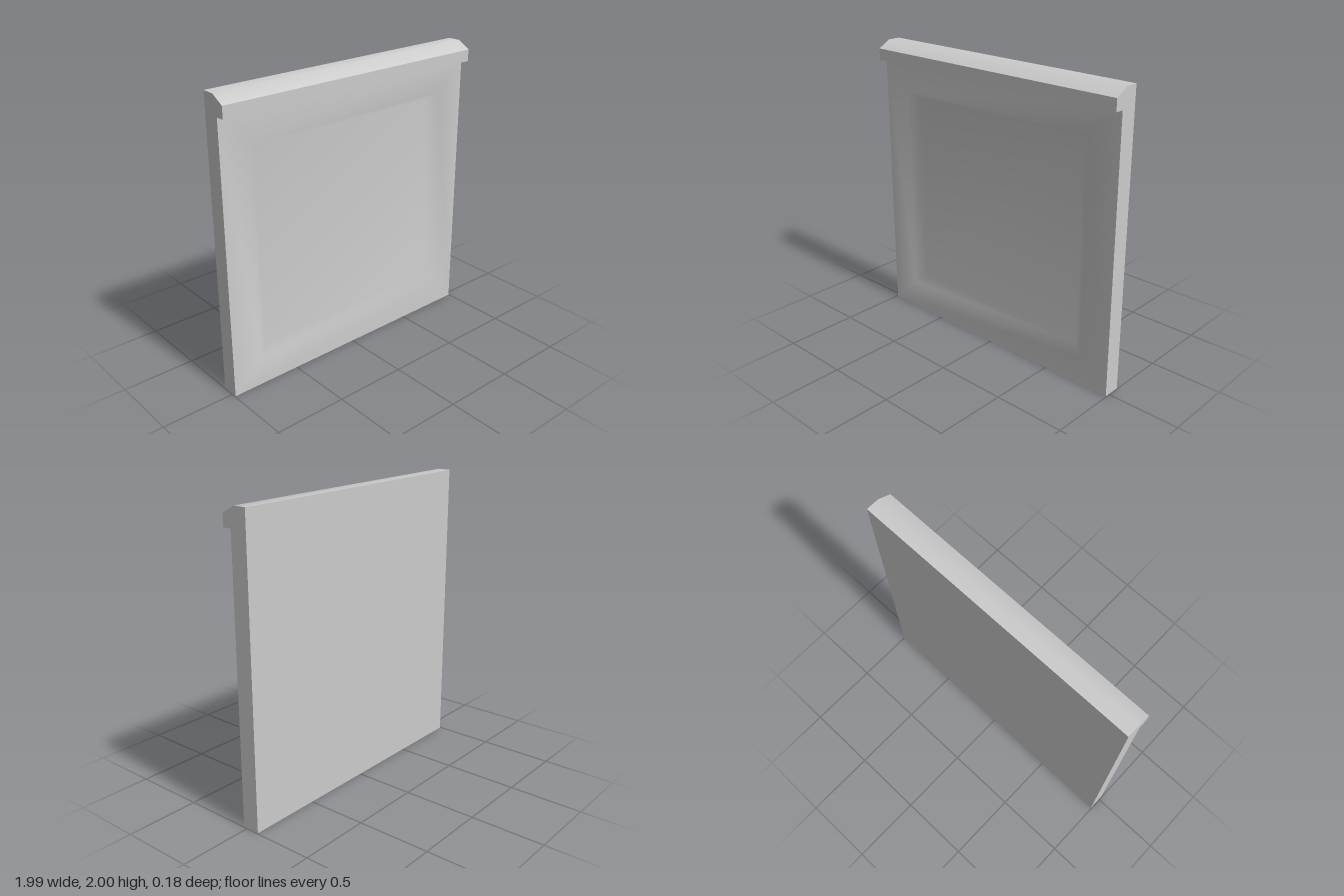
import * as THREE from 'three';
import { toCreasedNormals } from 'three/addons/utils/BufferGeometryUtils.js';

const HALF_W = 0.995, BACK = -0.09, FACE = 0.03, CAP_Y = 1.87;

// Joins rectangular rings [halfWidth, bottom, top, z], with optional end faces
function loftRects(rings, closeStart, closeEnd) {
  const pos = [], index = [];
  for (const [w, y0, y1, z] of rings) pos.push(-w, y0, z, w, y0, z, w, y1, z, -w, y1, z);
  for (let i = 0; i < rings.length - 1; i++) {
    for (let j = 0; j < 4; j++) {
      const a = i * 4 + j, b = i * 4 + (j + 1) % 4;
      index.push(a, b, b + 4, a, b + 4, a + 4);
    }
  }
  const e = (rings.length - 1) * 4;
  if (closeStart) index.push(0, 2, 1, 0, 3, 2);
  if (closeEnd) index.push(e, e + 1, e + 2, e, e + 2, e + 3);
  const g = new THREE.BufferGeometry();
  g.setAttribute('position', new THREE.Float32BufferAttribute(pos, 3));
  g.setIndex(index);
  g.computeVertexNormals();
  return g;
}

export function createModel() {
  const group = new THREE.Group();
  const grey = new THREE.MeshStandardMaterial({ color: 0xcccccc });
  grey.name = 'light grey';
  const add = (name, geometry) => {
    const mesh = new THREE.Mesh(geometry, grey);
    mesh.name = name;
    group.add(mesh);
  };

  // Back and edges of the slab, sharp cornered
  const slab = loftRects([[HALF_W, 0, CAP_Y, BACK], [HALF_W, 0, CAP_Y, FACE]], true, false);
  add('slabBackAndEdges', toCreasedNormals(slab, 0.6));

  // Front frame, bevel and sunken panel, softly shaded
  add('recessedFront', loftRects([
    [HALF_W, 0, CAP_Y, FACE],
    [0.78, 0.2, 1.68, FACE],
    [0.705, 0.25, 1.63, FACE - 0.055],
  ], false, true));

  // Coping along the top with a sloped, overhanging lip
  const profile = new THREE.Shape([
    [BACK, CAP_Y], [0.09, CAP_Y], [0.09, 1.95], [0, 2], [BACK, 2],
  ].map(([z, y]) => new THREE.Vector2(z, y)));
  const cap = new THREE.ExtrudeGeometry(profile, { depth: HALF_W * 2, bevelEnabled: false });
  cap.rotateY(-Math.PI / 2).translate(HALF_W, 0, 0);
  add('topCoping', toCreasedNormals(cap, 0.6));

  return group;
}
